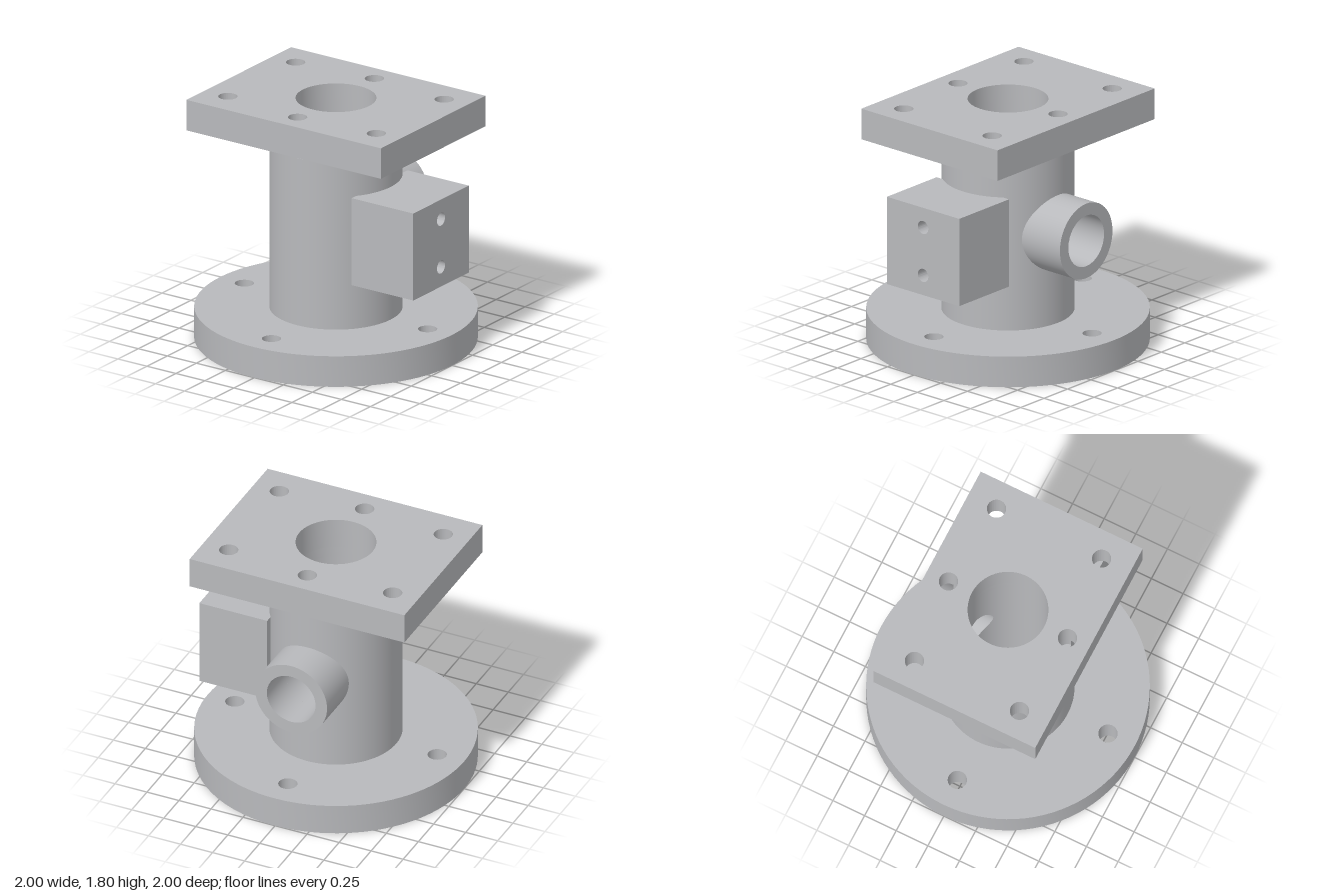
import * as THREE from 'three';
import { toCreasedNormals } from 'three/addons/utils/BufferGeometryUtils.js';

const BORE = 0.285, COLUMN = 0.47, BOLT = 0.068;
const PORT = 0.19, BOSS = 0.28, PORT_Y = 0.91, BOSS_END = -0.735;
const BASE_TOP = 0.23, NOTCH_Y = 1.49, PLATE_Y = 1.57, TOP_Y = 1.8;

export function createModel() {
  const model = new THREE.Group();
  model.name = 'flangedValveBody';
  const metal = new THREE.MeshStandardMaterial({ color: 0xb8b9bc, side: THREE.DoubleSide });
  metal.name = 'castMetal';

  const add = (name, geometry) => {
    const mesh = new THREE.Mesh(geometry, metal);
    mesh.name = name;
    model.add(mesh);
    return mesh;
  };

  const punch = (shape, x, y, r) => {
    shape.holes.push(new THREE.Path().absarc(x, y, r, 0, Math.PI * 2, true));
    return shape;
  };
  const rect = (w, h, cy = 0) => new THREE.Shape([
    new THREE.Vector2(-w, cy - h), new THREE.Vector2(w, cy - h),
    new THREE.Vector2(w, cy + h), new THREE.Vector2(-w, cy + h)]);
  const extrude = (shape, depth) => toCreasedNormals(
    new THREE.ExtrudeGeometry(shape, { depth, bevelEnabled: false, curveSegments: 48 }), 0.5);
  // Horizontal slab between two heights
  const slab = (name, shape, y0, y1) =>
    add(name, extrude(shape, y1 - y0).rotateX(-Math.PI / 2).translate(0, y0, 0));

  // Round base flange with four bolt holes
  const base = punch(new THREE.Shape().absarc(0, 0, 1, 0, Math.PI * 2), 0, 0, BORE);
  for (const [x, z] of [[1, 0], [-1, 0], [0, 1], [0, -1]]) punch(base, x * 0.79, z * 0.79, BOLT);
  slab('baseFlange', base, 0, BASE_TOP);

  // Rectangular top flange with six bolt holes
  const top = punch(rect(0.838, 0.64), 0, 0, BORE);
  for (const s of [-1, 1]) {
    punch(top, 0, s * COLUMN, BOLT);
    for (const x of [-0.64, 0.64]) punch(top, x, s * 0.415, BOLT);
  }
  slab('topFlange', top, PLATE_Y, TOP_Y);

  // Column walls, opened at the back where the side port enters
  const STEPS = 24;
  const wall = (name, R) => {
    const g = new THREE.CylinderGeometry(R, R, 1, 96, STEPS + 2, true);
    const { position, normal, uv } = g.attributes;
    for (let i = 0; i < position.count; i++) {
      const row = Math.round(uv.getY(i) * (STEPS + 2));
      const a = THREE.MathUtils.clamp((row - 1) / STEPS, 0, 1) * Math.PI;
      let y = PORT_Y - PORT * Math.cos(a);
      if (row === 0) y = BASE_TOP;
      if (row === STEPS + 2) y = NOTCH_Y;
      const gap = Math.asin(PORT * Math.sin(a) / R);
      const t = Math.PI + gap + uv.getX(i) * 2 * (Math.PI - gap);
      position.setXYZ(i, R * Math.sin(t), y, R * Math.cos(t));
      normal.setXYZ(i, Math.sin(t), 0, Math.cos(t));
    }
    add(name, g);
  };
  wall('columnOuterWall', COLUMN);
  wall('columnBore', BORE);

  // Column head, notched front and back by the middle bolt holes
  const d = 2 * Math.asin(BOLT / 2 / COLUMN), H = Math.PI / 2;
  const head = new THREE.Shape()
    .absarc(0, 0, COLUMN, -H + d, H - d)
    .absarc(0, COLUMN, BOLT, -d / 2, Math.PI + d / 2, true)
    .absarc(0, 0, COLUMN, H + d, 3 * H - d)
    .absarc(0, -COLUMN, BOLT, Math.PI - d / 2, d / 2, true);
  slab('columnHead', punch(head, 0, 0, BORE), NOTCH_Y, PLATE_Y);
  add('notchFloor', new THREE.RingGeometry(BORE, COLUMN, 96).rotateX(-H).translate(0, NOTCH_Y, 0));

  // Round port on the back, its inner ends shaped to the column walls
  const tube = (name, r, R) => {
    const g = new THREE.CylinderGeometry(r, r, 1, 64, 1, true).rotateX(H);
    const p = g.attributes.position;
    for (let i = 0; i < p.count; i++) {
      const x = p.getX(i);
      p.setZ(i, p.getZ(i) < 0 ? BOSS_END : -Math.sqrt(R * R - x * x));
    }
    add(name, g.translate(0, PORT_Y, 0));
  };
  tube('portOuterWall', BOSS, COLUMN);
  tube('portBore', PORT, BORE);
  add('portRim', new THREE.RingGeometry(PORT, BOSS, 64).rotateY(Math.PI).translate(0, PORT_Y, BOSS_END));

  // Square mounting block on the left side with two blind holes
  const block = (name, shape, x0, x1) =>
    add(name, extrude(shape, x1 - x0).rotateY(H).translate(x0, 0, 0));
  const face = rect(0.34, 0.328, 0.902);
  block('mountingBlock', face, 0.375, 0.6);
  const drilled = rect(0.34, 0.328, 0.902);
  for (const y of [0.722, 1.082]) punch(drilled, 0, y, 0.049);
  block('mountingBlockFace', drilled, 0.6, 0.905);

  return model;
}
